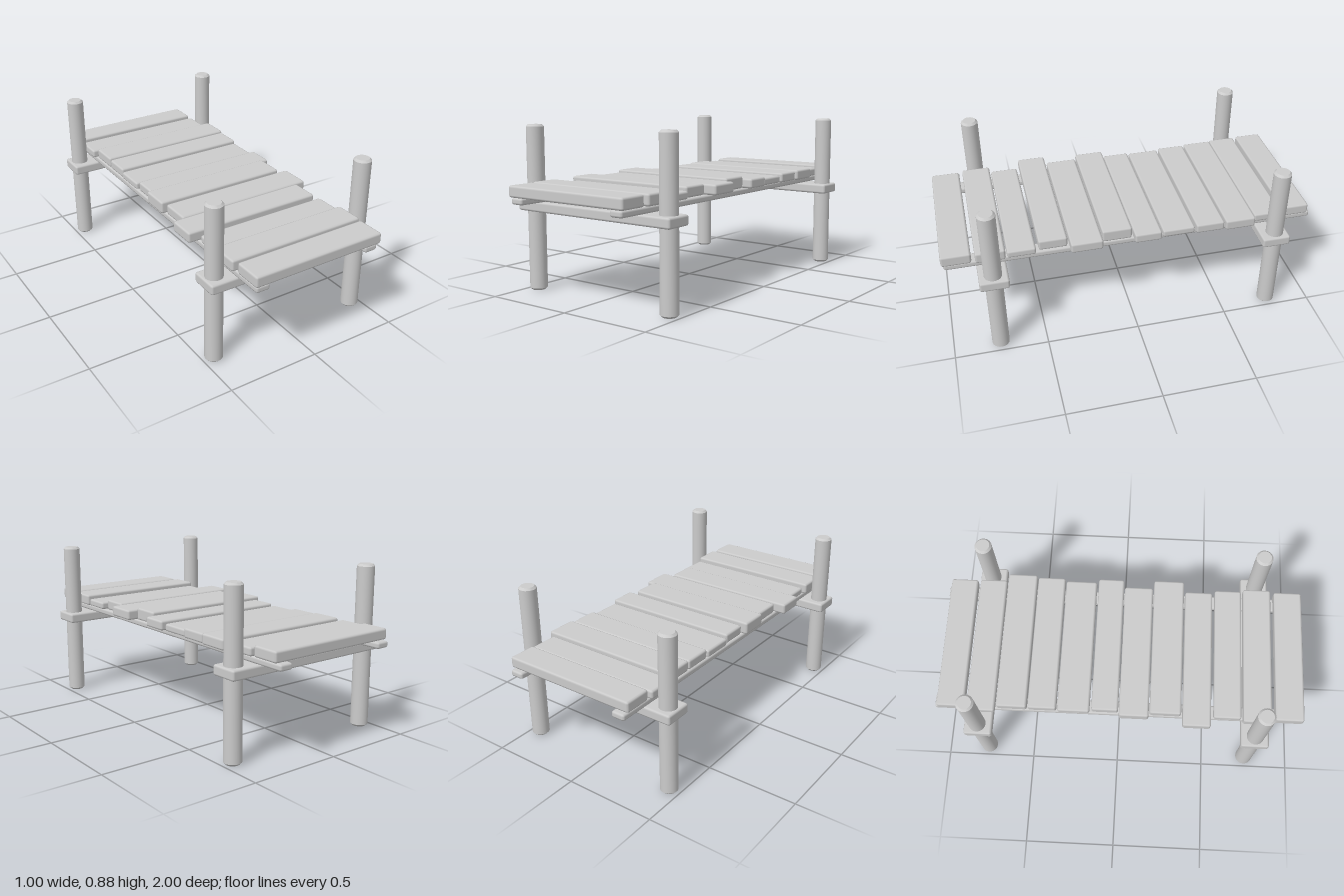
import * as THREE from 'three';
import { toCreasedNormals } from 'three/addons/utils/BufferGeometryUtils.js';
import { RoundedBoxGeometry } from 'three/addons/geometries/RoundedBoxGeometry.js';

const material = new THREE.MeshStandardMaterial({ color: 0xcccccc });

// Box with chamfered edges, given by its extents
function board(name, [x0, x1], [y0, y1], [z0, z1], chamfer = 0.01) {
  const geometry = new RoundedBoxGeometry(x1 - x0, y1 - y0, z1 - z0, 1, chamfer);
  const mesh = new THREE.Mesh(geometry, material);
  mesh.name = name;
  mesh.position.set((x0 + x1) / 2, (y0 + y1) / 2, (z0 + z1) / 2);
  return mesh;
}

// Round post with chamfered ends
function post(x, z) {
  const r = 0.0465, h = 0.875, c = 0.011;
  const profile = [[0, 0], [r - c, 0], [r, c], [r, h - c], [r - c, h], [0, h]]
    .map(([px, py]) => new THREE.Vector2(px, py));
  const mesh = new THREE.Mesh(toCreasedNormals(new THREE.LatheGeometry(profile, 24), 0.5), material);
  mesh.name = 'post';
  mesh.position.set(x, 0, z);
  return mesh;
}

export function createModel() {
  const dock = new THREE.Group();
  dock.name = 'dock';

  // Cross beams with a post through each end
  for (const [postZ, z0, z1] of [[0.75, 0.672, 0.825], [-0.766, -0.838, -0.685]]) {
    dock.add(board('crossBeam', [-0.5, 0.5], [0.428, 0.483], [z0, z1], 0.012));
    for (const side of [-1, 1]) dock.add(post(side * 0.441, postZ));
  }

  // Long beams under the deck
  for (const x of [-0.328, 0.323]) {
    dock.add(board('longBeam', [x - 0.038, x + 0.038], [0.488, 0.523], [-1, 0.99], 0.012));
  }

  // Deck planks, back to front: left and right ends, back and front edges, top height
  const planks = [
    [-0.375, 0.375, -0.98, -0.83, 0.583],
    [-0.39, 0.385, -0.82, -0.667, 0.57],
    [-0.365, 0.42, -0.66, -0.495, 0.582],
    [-0.365, 0.41, -0.49, -0.335, 0.577],
    [-0.37, 0.4, -0.33, -0.155, 0.565],
    [-0.36, 0.415, -0.145, 0, 0.577],
    [-0.39, 0.365, 0.005, 0.165, 0.592],
    [-0.365, 0.418, 0.17, 0.34, 0.58],
    [-0.427, 0.355, 0.347, 0.5, 0.583],
    [-0.37, 0.38, 0.515, 0.665, 0.565],
    [-0.39, 0.385, 0.672, 0.827, 0.585],
    [-0.375, 0.375, 0.845, 1, 0.585],
  ];
  for (const [x0, x1, z0, z1, top] of planks) {
    dock.add(board('plank', [x0, x1], [0.524, top], [z0, z1], 0.012));
  }

  return dock;
}
